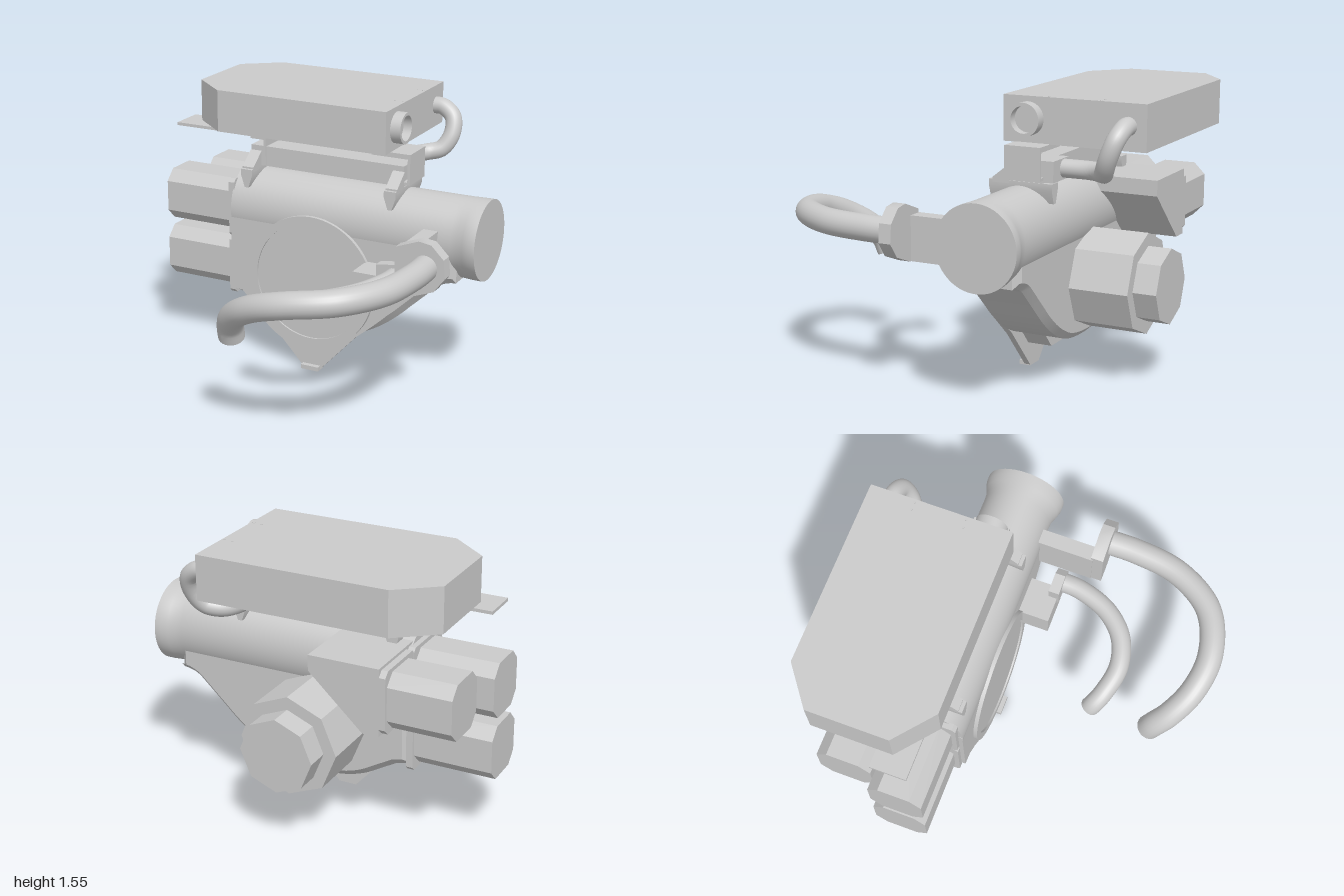
import * as THREE from 'three';
import { toCreasedNormals } from 'three/addons/utils/BufferGeometryUtils.js';

const grey = new THREE.MeshStandardMaterial({ color: 0xcacaca });
grey.name = 'light machine grey';

export function createModel() {
  const model = new THREE.Group();
  model.name = 'gearedDriveUnit';

  const add = (name, geo) => {
    const mesh = new THREE.Mesh(toCreasedNormals(geo, 0.6), grey);
    mesh.name = name;
    model.add(mesh);
    return mesh;
  };
  const poly = pts => new THREE.Shape(pts.map(p => new THREE.Vector2(...p)));
  // Box given by its limits
  const box = (name, x0, x1, y0, y1, z0, z1) =>
    add(name, new THREE.BoxGeometry(x1 - x0, y1 - y0, z1 - z0)
      .translate((x0 + x1) / 2, (y0 + y1) / 2, (z0 + z1) / 2));
  // Outline in x,y extruded along z, with an optional bevel inside the limits
  const alongZ = (name, shape, z0, z1, bevel = 0) =>
    add(name, new THREE.ExtrudeGeometry(shape, {
      depth: z1 - z0 - 2 * bevel, bevelEnabled: bevel > 0, bevelSize: bevel,
      bevelThickness: bevel, bevelOffset: -bevel, bevelSegments: 1, curveSegments: 32,
    }).translate(0, 0, z0 + bevel));
  // Outline in z,y extruded along x
  const alongX = (name, pts, x0, x1) =>
    add(name, new THREE.ExtrudeGeometry(poly(pts.map(([z, y]) => [-z, y])),
      { depth: x1 - x0, bevelEnabled: false }).rotateY(Math.PI / 2).translate(x0, 0, 0));
  // Outline in x,z extruded along y
  const alongY = (name, pts, y0, y1) =>
    add(name, new THREE.ExtrudeGeometry(poly(pts.map(([x, z]) => [x, -z])),
      { depth: y1 - y0, bevelEnabled: false }).rotateX(-Math.PI / 2).translate(0, y0, 0));
  // Cylinder facing z
  const discZ = (name, r, x, y, z0, z1, sides = 64) =>
    add(name, new THREE.CylinderGeometry(r, r, z1 - z0, sides)
      .rotateX(Math.PI / 2).translate(x, y, (z0 + z1) / 2));
  // Round pipe with closed ends
  const pipe = (name, pts, r) => {
    const curve = new THREE.CatmullRomCurve3(pts.map(p => new THREE.Vector3(...p)));
    add(name, new THREE.TubeGeometry(curve, 64, r, 24));
    for (const t of [0, 1]) {
      const cap = add(name + 'End', new THREE.CircleGeometry(r, 24));
      const dir = curve.getTangent(t).multiplyScalar(t ? 1 : -1);
      cap.position.copy(curve.getPoint(t));
      cap.quaternion.setFromUnitVectors(new THREE.Vector3(0, 0, 1), dir);
    }
  };
  const chamfered = (z, y, h, c) => [
    [z - h, y - h + c], [z - h + c, y - h], [z + h - c, y - h], [z + h, y - h + c],
    [z + h, y + h - c], [z + h - c, y + h], [z - h + c, y + h], [z - h, y + h - c]];

  // Barrel: oval along its length, flaring to a full circle at the mouth
  const barrel = new THREE.CylinderGeometry(0.225, 0.225, 1.49, 64, 40).rotateZ(-Math.PI / 2);
  const pos = barrel.attributes.position;
  for (let i = 0; i < pos.count; i++) {
    const x = pos.getX(i) + 0.225;
    pos.setZ(i, pos.getZ(i) * (0.87 + 0.13 * THREE.MathUtils.smoothstep(x, 0.84, 0.94)));
  }
  add('barrel', barrel.translate(0.227, 0.878, -0.352));

  // Main gear housing with a rounded belly
  const body = new THREE.Shape();
  body.moveTo(-0.52, 0.9);
  body.lineTo(-0.52, 0.39);
  body.lineTo(-0.44, 0.37);
  body.lineTo(-0.3, 0.29);
  body.quadraticCurveTo(-0.18, 0.22, 0, 0.22);
  body.quadraticCurveTo(0.2, 0.22, 0.3, 0.27);
  body.quadraticCurveTo(0.44, 0.33, 0.58, 0.47);
  body.lineTo(0.74, 0.62);
  body.quadraticCurveTo(0.78, 0.655, 0.85, 0.66);
  body.lineTo(0.85, 0.9);
  alongZ('gearHousing', body, -0.525, -0.165, 0.035);

  // Front plate with pointed foot
  const plate = new THREE.Shape();
  plate.moveTo(-0.52, 0.88);
  plate.lineTo(-0.52, 0.41);
  plate.lineTo(-0.45, 0.4);
  plate.absarc(0, 0.53, 0.425, Math.PI * 1.165, Math.PI * 1.353, false);
  plate.lineTo(-0.05, 0);
  plate.lineTo(0.05, 0);
  plate.lineTo(0.28, 0.25);
  plate.quadraticCurveTo(0.42, 0.36, 0.56, 0.51);
  plate.lineTo(0.71, 0.645);
  plate.lineTo(0.8, 0.68);
  plate.lineTo(0.8, 0.88);
  alongZ('frontPlate', plate, -0.195, -0.16);
  box('footTab', -0.055, 0.055, 0, 0.025, -0.195, -0.13);
  alongZ('footRib', poly([[-0.18, 0.25], [-0.08, 0.14], [0.08, 0.14], [0.18, 0.25]]), -0.335, -0.18);

  // Round front cover with a raised rim
  discZ('frontCover', 0.35, 0, 0.535, -0.17, -0.148);
  const rim = new THREE.Shape().absarc(0, 0.535, 0.385, 0, Math.PI * 2);
  rim.holes.push(new THREE.Path().absarc(0, 0.535, 0.34, 0, Math.PI * 2, true));
  alongZ('coverRim', rim, -0.17, -0.138);

  // Rear eight-sided drive
  discZ('rearDriveBody', 0.275, 0, 0.535, -0.855, -0.49, 8);
  discZ('rearDriveCap', 0.205, 0, 0.535, -0.985, -0.85, 8);

  // Side motors and their flanges
  for (const y of [0.88, 0.535]) {
    alongX('sideMotor', chamfered(-0.36, y, 0.15, 0.062), -0.975, -0.52);
    alongX('sideMotorFlange', chamfered(-0.355, y, 0.172, 0.02), -0.547, -0.51);
  }
  alongX('rearSideMotor', chamfered(-0.68, 0.877, 0.152, 0.062), -0.89, -0.5);
  alongX('rearMotorFlange', chamfered(-0.68, 0.88, 0.17, 0.03), -0.545, -0.5);
  alongZ('rearMotorMount', poly([[-0.51, 1.065], [-0.51, 0.7], [-0.42, 0.7], [-0.12, 0.98],
    [-0.12, 1.065]]), -0.85, -0.4);

  // Top control box with cut corners
  alongY('controlBox', [[-0.84, -0.84], [-0.63, -1], [0.412, -1], [0.412, -0.215],
    [-0.63, -0.215], [-0.84, -0.39]], 1.31, 1.55);
  for (const x of [0.35, 0.395]) for (const z of [-0.75, -0.465]) {
    add('boxScrew', new THREE.CylinderGeometry(0.007, 0.007, 0.004, 10).translate(x, 1.55, z));
  }

  // Hollow port on the control box
  const port = [[0.087, 0], [0.087, 0.06], [0.07, 0.06], [0.07, 0.01], [0, 0.01]];
  add('boxPort', new THREE.LatheGeometry(port.map(p => new THREE.Vector2(...p)), 40)
    .rotateZ(-Math.PI / 2).translate(0.412, 1.435, -0.355));

  // Hose from the control box to the rail
  pipe('boxHose', [[0.4, 1.435, -0.9], [0.46, 1.43, -0.9], [0.525, 1.38, -0.885],
    [0.535, 1.29, -0.85], [0.49, 1.21, -0.81], [0.42, 1.19, -0.775], [0.37, 1.188, -0.7],
    [0.365, 1.188, -0.5]], 0.048);

  // Rail, brackets and supports under the control box
  box('rail', -0.455, 0.49, 1.125, 1.24, -0.48, -0.29);
  box('railBackEnd', 0.31, 0.49, 1.13, 1.24, -0.535, -0.48);
  box('sidePlate', -0.94, -0.36, 1.293, 1.31, -0.48, -0.28);
  box('leftBracketTop', -0.46, -0.36, 1.275, 1.295, -0.48, -0.29);
  box('leftBracketWeb', -0.372, -0.358, 1.13, 1.29, -0.48, -0.28);
  box('rightBracketTop', 0.3, 0.53, 1.285, 1.312, -0.48, -0.28);
  box('rightBracketWeb', 0.515, 0.53, 1.15, 1.3, -0.48, -0.28);
  box('rightBracketFoot', 0.47, 0.53, 1.14, 1.155, -0.48, -0.28);
  for (const x of [-0.425, 0.46]) {
    alongX('supportGusset', [[-0.195, 1.11], [-0.195, 1.135], [-0.29, 1.21], [-0.29, 1.11]],
      x - 0.035, x + 0.035);
    alongZ('supportSaddle', poly([[x - 0.035, 1.125], [x - 0.035, 1.09], [x - 0.012, 1.02],
      [x + 0.012, 1.02], [x + 0.035, 1.09], [x + 0.035, 1.125]]), -0.53, -0.175);
  }

  // Large outlet pipe with its arm and flange
  box('largePipeArm', 0.665, 0.75, 0.71, 0.95, -0.2, 0.15);
  alongZ('largePipeFlange', poly([[0.67, 0.71], [0.76, 0.71], [0.89, 0.76], [0.95, 0.84],
    [0.94, 0.94], [0.87, 1.01], [0.8, 1.02], [0.67, 0.97]]), 0.14, 0.21);
  pipe('largePipe', [[0.835, 0.88, 0.15], [0.835, 0.88, 0.36], [0.79, 0.88, 0.62],
    [0.64, 0.877, 0.84], [0.4, 0.85, 0.93], [0.2, 0.785, 0.905], [0.06, 0.69, 0.825],
    [0.01, 0.61, 0.765], [0, 0.54, 0.737]], 0.07);

  // Small outlet pipe with its block and flange
  box('smallPipeBlock', 0.335, 0.55, 0.56, 0.71, -0.18, 0.015);
  alongZ('smallPipeFlange', poly([[0.48, 0.66], [0.6, 0.64], [0.645, 0.69], [0.645, 0.75],
    [0.59, 0.795], [0.48, 0.78]]), -0.035, 0.025);
  pipe('smallPipe', [[0.585, 0.72, -0.01], [0.575, 0.72, 0.12], [0.51, 0.715, 0.3],
    [0.39, 0.7, 0.425], [0.23, 0.67, 0.472], [0.08, 0.62, 0.44], [0.015, 0.575, 0.407],
    [0, 0.54, 0.39]], 0.055);

  return model;
}
